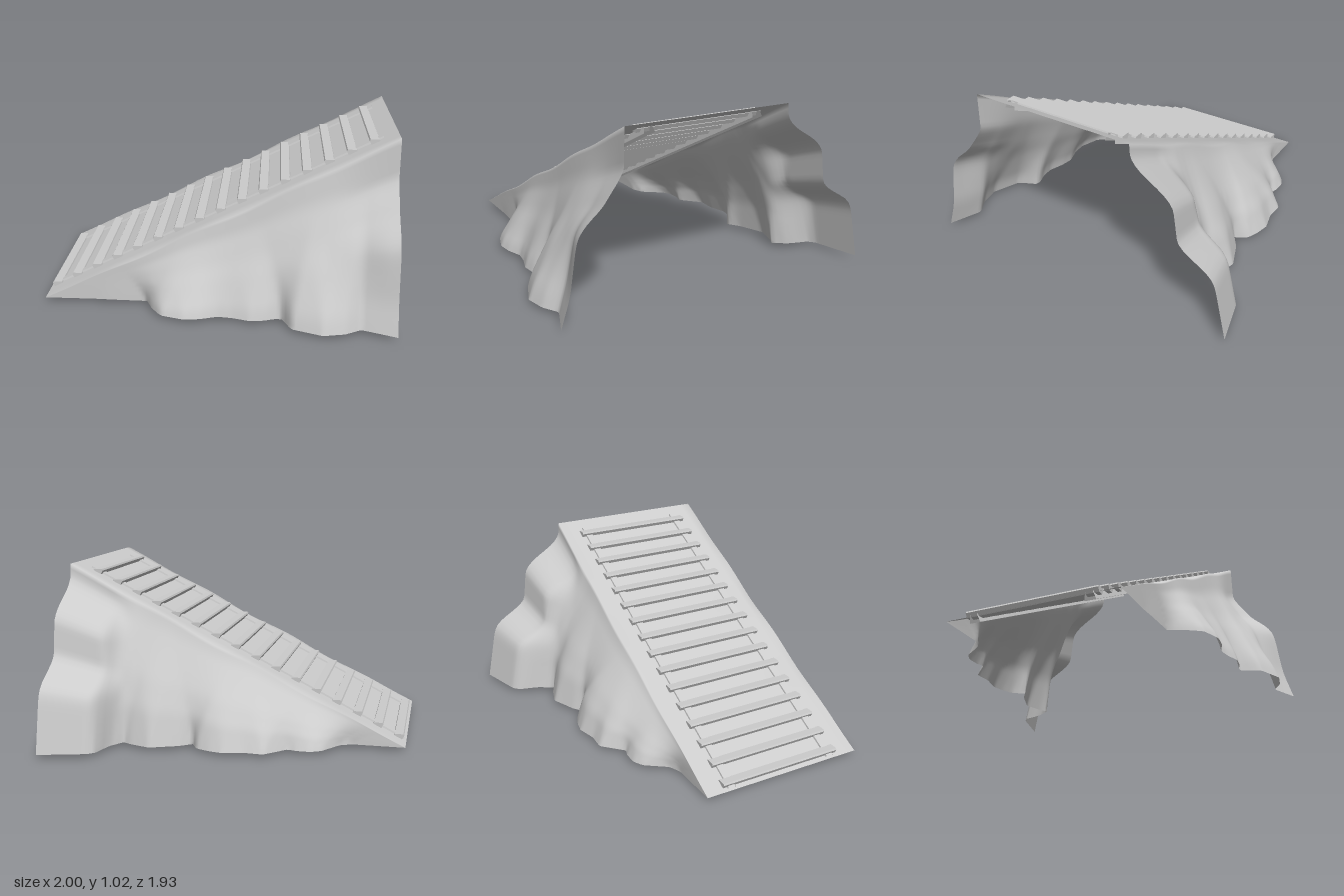
import * as THREE from 'three';

const mat = new THREE.MeshStandardMaterial({ color: 0xcccccc, side: THREE.DoubleSide });
const BASE = 0.03;
const deckY = (x) => 0.53 + 0.5 * x;

// piecewise linear lookup in [key, value] pairs with ascending keys
function lookup(pts, k) {
  for (let i = 1; i < pts.length; i++) {
    const [a, va] = pts[i - 1], [b, vb] = pts[i];
    if (k <= b) return va + (vb - va) * THREE.MathUtils.clamp((k - a) / (b - a), 0, 1);
  }
  return pts[pts.length - 1][1];
}

// the same lookup averaged over a window, which rounds the corners
function soft(pts, k, window) {
  let sum = 0;
  for (let i = -3; i <= 3; i++) sum += lookup(pts, k + (window * i) / 3);
  return sum / 7;
}

// each bank: foot outline [x, distance out from the deck edge] and
// vertical profiles [height fraction, share of the foot distance]
const frontBank = {
  side: 1, edge: 0.6, blend: [0.6, 0.95],
  foot: [[-1, 0], [-0.7, 0], [-0.6, 0.005], [-0.4, 0.01], [-0.36, 0.1], [-0.3, 0.185], [-0.17, 0.225],
    [-0.08, 0.215], [0.02, 0.18], [0.1, 0.19], [0.2, 0.22], [0.28, 0.21], [0.34, 0.187], [0.38, 0.187], [0.43, 0.3],
    [0.6, 0.365], [0.72, 0.34], [0.81, 0.285], [0.9, 0.32], [1, 0.36]],
  slope: [[0, 1], [0.1, 0.93], [0.39, 0.58], [0.54, 0.37], [0.8, 0.08], [1, 0]],
  end: [[0, 1], [0.17, 0.85], [0.43, 0.75], [0.5, 0.69], [0.63, 0.25], [0.7, 0.2], [0.74, 0.01], [1, 0]],
};
const backBank = {
  side: -1, edge: -0.4, blend: [0.58, 0.76],
  foot: [[-1, 0], [-0.7, 0.005], [-0.63, 0.035], [-0.54, 0.16], [-0.48, 0.19], [-0.4, 0.19], [-0.35, 0.175],
    [-0.23, 0.29], [-0.12, 0.285], [0, 0.315], [0.08, 0.3], [0.16, 0.27], [0.2, 0.2], [0.27, 0.25], [0.43, 0.315],
    [0.55, 0.28], [0.6, 0.255], [0.66, 0.34], [0.69, 0.46], [0.73, 0.495], [1, 0.57]],
  slope: [[0, 1], [0.28, 0.83], [0.5, 0.6], [0.75, 0.27], [0.9, 0.08], [1, 0]],
  end: [[0, 1], [0.33, 0.88], [0.39, 0.82], [0.47, 0.5], [0.74, 0.44], [0.77, 0.35], [0.89, 0.01], [1, 0]],
};

// point of a bank at x and height fraction t, as [y, z]
function bankPoint(b, x, t) {
  const w = THREE.MathUtils.smoothstep(x, ...b.blend);
  const round = Math.min(0.05, t, 1 - t);
  const share = THREE.MathUtils.lerp(soft(b.slope, t, round), soft(b.end, t, round), w);
  const reach = soft(b.foot, x, 0.16 * t * (1 - w));
  // the deck edge sags a little between its ends
  const sag = 0.008 * (1 - x * x) * (1 + Math.sin(11 * x));
  return [BASE + t * (deckY(x) - sag - BASE), b.edge + b.side * reach * share];
}

// one smooth skin: up the back bank, across the deck, down the front bank
function mound() {
  const steps = 34, deckZ = [-0.34, 0.54], rows = 2 * (steps + 1) + deckZ.length;
  const geo = new THREE.PlaneGeometry(2, 1, 110, rows - 1);
  const p = geo.attributes.position;
  for (let i = 0; i < p.count; i++) {
    const x = p.getX(i), row = Math.floor(i / 111);
    let point;
    if (row <= steps) point = bankPoint(backBank, x, row / steps);
    else if (row <= steps + deckZ.length) point = [deckY(x), deckZ[row - steps - 1]];
    else point = bankPoint(frontBank, x, (rows - 1 - row) / steps);
    p.setXYZ(i, x, ...point);
  }
  geo.computeVertexNormals();
  const mesh = new THREE.Mesh(geo, mat);
  mesh.name = 'rockyRamp';
  return mesh;
}

// rail open underneath, with flared sides that cut into the deck
function railGeometry(length) {
  const profile = [[0.01, -0.035, -0.032], [0, 0.01, -0.021], [0, 0.01, 0.021], [0, -0.035, 0.032]];
  const strip = new THREE.PlaneGeometry(length, 1, 1, 3);
  const p = strip.attributes.position;
  for (let i = 0; i < p.count; i++) {
    const [, y, z] = profile[Math.floor(i / 2)];
    p.setXYZ(i, p.getX(i), y, z);
  }
  const flat = strip.toNonIndexed();
  flat.computeVertexNormals();
  return flat;
}

export function createModel() {
  const group = new THREE.Group();
  const slope = Math.atan(0.5);
  group.add(mound());

  // long rails
  const railGeo = railGeometry(1.91 / Math.cos(slope));
  for (const [name, z] of [['frontRail', 0.425], ['backRail', -0.24]]) {
    const rail = new THREE.Mesh(railGeo, mat);
    rail.position.set(-0.03, deckY(-0.03), z);
    rail.rotation.z = slope;
    rail.name = name;
    group.add(rail);
  }

  // cross slats, flat on top and tapered below
  const section = new THREE.Shape([[-0.03, 0.012], [-0.017, -0.012], [0.017, -0.012], [0.03, 0.012], [0.025, 0.022],
    [-0.025, 0.022]].map(([x, y]) => new THREE.Vector2(x, y)));
  const slatGeo = new THREE.ExtrudeGeometry(section, { depth: 0.765, bevelEnabled: false });
  const slats = new THREE.Group();
  slats.name = 'slats';
  for (let i = 0; i < 16; i++) {
    const x = -0.957 + i * 0.122;
    const slat = new THREE.Mesh(slatGeo, mat);
    slat.position.set(x, deckY(x), -0.29);
    slat.name = 'slat';
    slats.add(slat);
  }
  group.add(slats);
  return group;
}
